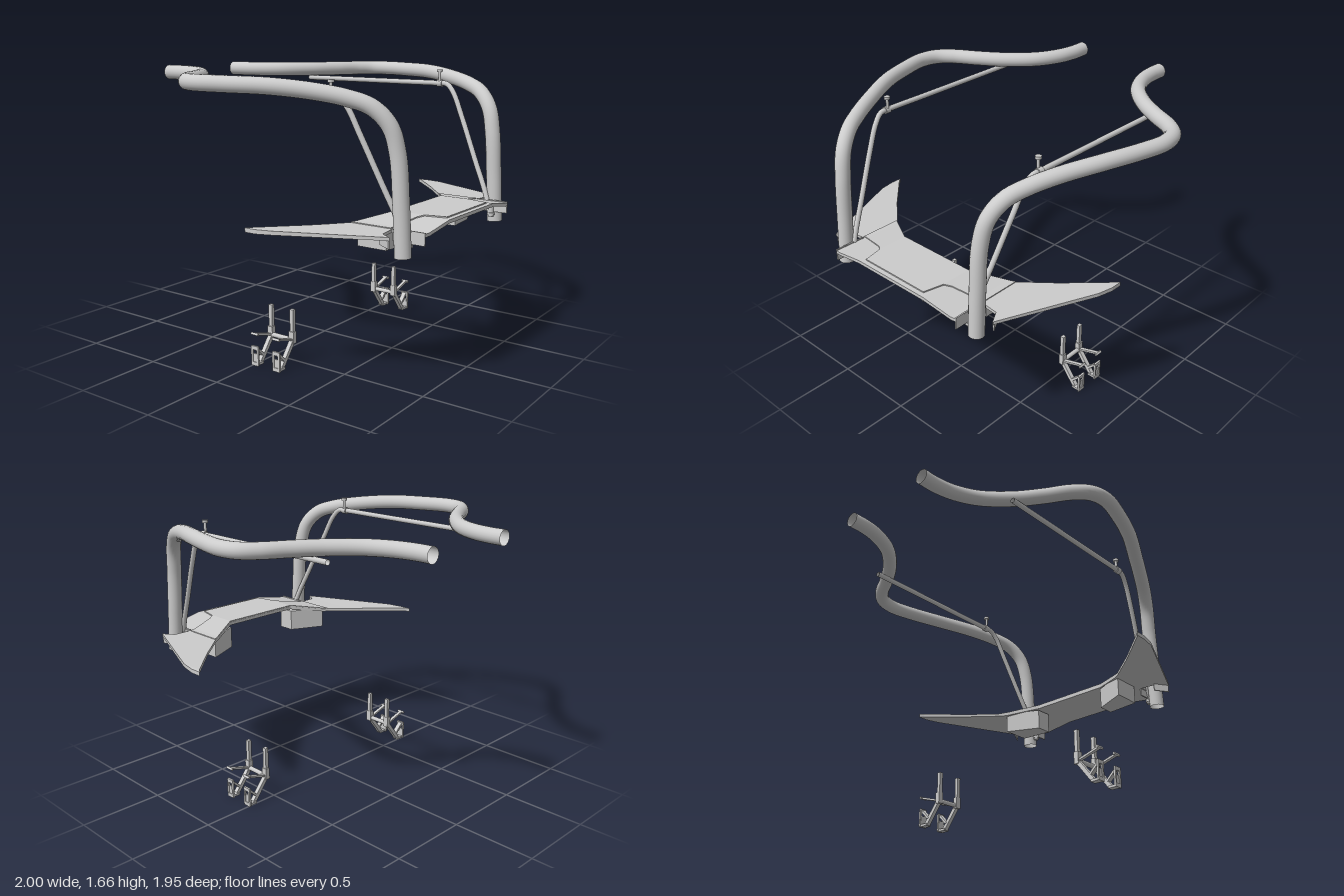
import * as THREE from 'three';

const grey = new THREE.MeshStandardMaterial({ color: 0xcccccc });
const open = new THREE.MeshStandardMaterial({ color: 0xcccccc, side: THREE.DoubleSide });

function add(parent, name, geometry, material = grey) {
  const mesh = new THREE.Mesh(geometry, material);
  mesh.name = name;
  parent.add(mesh);
  return mesh;
}

// Tube through points; s mirrors it in z
function pipe(parent, name, pts, radius, s, segments, sides, type = 'centripetal') {
  const curve = new THREE.CatmullRomCurve3(pts.map(([x, y, z]) => new THREE.Vector3(x, y, z * s)), false, type);
  return add(parent, name, new THREE.TubeGeometry(curve, segments, radius, sides), open);
}

// Rectangular bar from p to q: w across, t thick
function bar(parent, name, p, q, w, t, s) {
  const a = new THREE.Vector3(p[0], p[1], p[2] * s);
  const b = new THREE.Vector3(q[0], q[1], q[2] * s);
  const mesh = add(parent, name, new THREE.BoxGeometry(w, t, a.distanceTo(b)));
  mesh.position.copy(a).lerp(b, 0.5);
  mesh.lookAt(b);
  return mesh;
}

// Upright cylinder between two heights
function post(parent, name, r, x, y0, y1, z) {
  const mesh = add(parent, name, new THREE.CylinderGeometry(r, r, y1 - y0, 14));
  mesh.position.set(x, (y0 + y1) / 2, z);
  return mesh;
}

// Flat-shaded slab lofted along z from half stations [z, inner x, outer x, top y, thickness]
function slab(half) {
  const rows = [...half.map(([z, ...r]) => [-z, ...r]).reverse(), ...half];
  const pos = [], idx = [];
  for (const [z, x0, x1, y, t] of rows) pos.push(x0, y, z, x1, y, z, x1, y - t, z, x0, y - t, z);
  for (let i = 0; i < rows.length - 1; i++) {
    for (let j = 0; j < 4; j++) {
      const a = i * 4 + j, k = i * 4 + (j + 1) % 4;
      idx.push(a, a + 4, k + 4, a, k + 4, k);
    }
  }
  const e = (rows.length - 1) * 4;
  idx.push(0, 1, 2, 0, 2, 3, e, e + 2, e + 1, e, e + 3, e + 2);
  let geo = new THREE.BufferGeometry();
  geo.setAttribute('position', new THREE.Float32BufferAttribute(pos, 3));
  geo.setIndex(idx);
  geo = geo.toNonIndexed();
  geo.computeVertexNormals();
  return geo;
}

// Vertical prism from an [x, z] footprint
function prism(pts, y0, y1) {
  const shape = new THREE.Shape(pts.map(([x, z]) => new THREE.Vector2(x, -z)));
  const geo = new THREE.ExtrudeGeometry(shape, { depth: y1 - y0, bevelEnabled: false });
  return geo.rotateX(-Math.PI / 2).translate(0, y0, 0);
}

// Foot bracket: two hooked legs joined by a crossbar
function footBracket(parent, s) {
  const g = new THREE.Group();
  g.name = 'footBracket';
  parent.add(g);
  for (const x of [0.015, 0.17]) {
    bar(g, 'bracketPost', [x, 0.14, 0.545], [x, 0.33, 0.545], 0.024, 0.022, s);
    bar(g, 'bracketArm', [x, 0.15, 0.55], [x, 0.193, 0.695], 0.022, 0.012, s);
    bar(g, 'armCap', [x, 0.19, 0.69], [x, 0.196, 0.7], 0.05, 0.014, s);
    bar(g, 'bracketLeg', [x, 0.15, 0.545], [x, 0.015, 0.65], 0.026, 0.024, s);
    bar(g, 'footBase', [x, 0.012, 0.64], [x, 0.012, 0.695], 0.04, 0.014, s);
    bar(g, 'footBrace', [x, 0.05, 0.63], [x, 0.11, 0.692], 0.03, 0.014, s);
    // Rim of the foot pad, open in the middle
    for (const dx of [-0.02, 0.02]) bar(g, 'padSide', [x + dx, 0.012, 0.693], [x + dx, 0.115, 0.693], 0.012, 0.012, s);
    for (const y of [0.015, 0.11]) bar(g, 'padEnd', [x, y, 0.687], [x, y, 0.699], 0.05, 0.022, s);
    bar(g, 'padPlate', [x, 0.012, 0.69], [x, 0.075, 0.69], 0.036, 0.008, s);
    bar(g, 'crossbarBoss', [x, 0.13, 0.547], [x, 0.2, 0.547], 0.036, 0.03, s);
  }
  const cross = add(g, 'crossbar', new THREE.CylinderGeometry(0.014, 0.014, 0.155, 12));
  cross.rotation.z = Math.PI / 2;
  cross.position.set(0.0925, 0.15, 0.55 * s);
}

function frameSide(parent, s) {
  const g = new THREE.Group();
  g.name = s > 0 ? 'leftFrame' : 'rightFrame';
  parent.add(g);

  // Main tube: sweeps out, along and down to the base
  pipe(g, 'mainTube', [
    [-1, 1.615, 0.305], [-0.9, 1.615, 0.306], [-0.78, 1.615, 0.33], [-0.64, 1.615, 0.4], [-0.5, 1.615, 0.54],
    [-0.4, 1.615, 0.69], [-0.32, 1.615, 0.83], [-0.24, 1.615, 0.908], [-0.13, 1.615, 0.932],
    [0.03, 1.613, 0.9], [0.245, 1.608, 0.83], [0.46, 1.585, 0.73], [0.62, 1.553, 0.655],
    [0.73, 1.51, 0.603], [0.81, 1.42, 0.563], [0.847, 1.28, 0.542], [0.87, 1.0, 0.537], [0.885, 0.745, 0.537],
  ], 0.045, s, 120, 22);

  // Thin rail and the strut running down from it
  pipe(g, 'railAndStrut', [
    [-0.555, 1.553, 0.587], [-0.2, 1.553, 0.587], [0.2, 1.553, 0.587], [0.44, 1.553, 0.587], [0.51, 1.55, 0.583],
    [0.56, 1.5, 0.574], [0.63, 1.36, 0.558], [0.75, 1.1, 0.523], [0.83, 0.93, 0.5], [0.88, 0.8, 0.482],
  ], 0.016, s, 90, 12);
  post(g, 'railPin', 0.009, 0.46, 1.55, 1.63, 0.578 * s);
  post(g, 'railPinHead', 0.018, 0.46, 1.622, 1.638, 0.578 * s);
  const clamp = add(g, 'railClamp', new THREE.CylinderGeometry(0.022, 0.022, 0.035, 14));
  clamp.rotation.z = Math.PI / 2;
  clamp.position.set(0.46, 1.553, 0.587 * s);

  // Lower fixing beside the base of the tube
  post(g, 'strutFoot', 0.016, 0.885, 0.78, 0.84, 0.482 * s);
  post(g, 'strutCollar', 0.022, 0.885, 0.79, 0.805, 0.482 * s);

  // Box under the rear panel and walls around the tube cutout
  add(g, 'underBox', prism([[0.655, 0.262], [0.56, 0.468], [0.74, 0.468], [0.76, 0.262]].map(([x, z]) => [x, z * s]), 0.745, 0.876));
  bar(g, 'cutoutInnerWall', [0.79, 0.845, 0.484], [0.985, 0.845, 0.488], 0.008, 0.07, s);
  bar(g, 'cutoutOuterWall', [0.78, 0.84, 0.59], [0.865, 0.84, 0.642], 0.008, 0.06, s);

  footBracket(g, s);
}

export function createModel() {
  const model = new THREE.Group();
  model.name = 'tubularFrame';
  frameSide(model, 1);
  frameSide(model, -1);

  // Rear panel with swept wings, notched around the tubes
  add(model, 'rearPanel', slab([
    [0.262, 0.66, 1.0, 0.91, 0.02], [0.455, 0.547, 0.99, 0.876, 0.018], [0.49, 0.525, 0.985, 0.874, 0.018],
    [0.494, 0.522, 0.79, 0.874, 0.018], [0.6, 0.43, 0.8, 0.872, 0.018], [0.645, 0.392, 0.87, 0.872, 0.018],
    [0.66, 0.38, 0.835, 0.872, 0.018], [0.885, 0.165, 0.31, 0.872, 0.022], [0.905, 0.14, 0.21, 0.87, 0.024],
  ]));
  add(model, 'raisedPanel', slab([
    [0.235, 0.662, 0.97, 0.917, 0.008], [0.262, 0.662, 0.85, 0.917, 0.008], [0.3, 0.64, 0.825, 0.91, 0.009],
    [0.455, 0.549, 0.785, 0.882, 0.008], [0.49, 0.53, 0.78, 0.879, 0.008],
  ]));
  return model;
}
